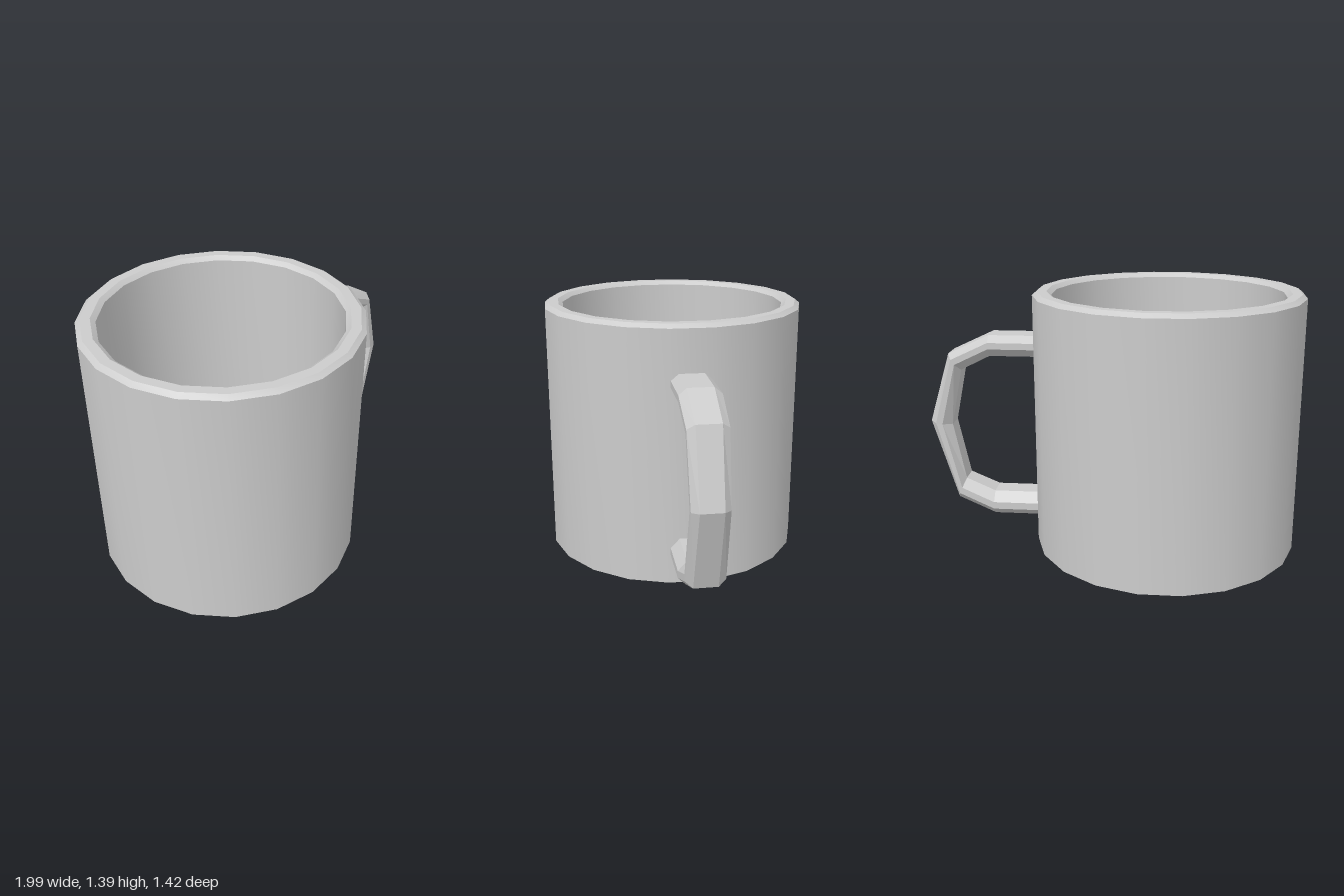
import * as THREE from 'three';
import { toCreasedNormals } from 'three/addons/utils/BufferGeometryUtils.js';

const SIDES = 20;
const CENTER_X = -0.29;

// Eight-sided cross-section: t runs from the outer (0) to the inner (1) edge, w is half-width.
const SECTION = [
  [0, 0.62], [0.3, 1], [0.6, 1], [1, 0.55],
  [1, -0.55], [0.6, -1], [0.3, -1], [0, -0.62],
];

// Stations along the handle: outer [r, y], inner [r, y], half-width.
const STATIONS = [
  [[0.66, 1.145], [0.66, 1.03], 0.105],
  [[0.95, 1.145], [0.95, 1.03], 0.105],
  [[1.174, 1.04], [1.11, 0.95], 0.1],
  [[1.29, 0.66], [1.174, 0.64], 0.093],
  [[1.155, 0.215], [1.11, 0.325], 0.1],
  [[0.95, 0.125], [0.95, 0.255], 0.105],
  [[0.66, 0.125], [0.66, 0.255], 0.105],
];

function handleGeometry() {
  const positions = [];
  const indices = [];
  const n = SECTION.length;
  for (const [outer, inner, halfWidth] of STATIONS) {
    for (const [t, w] of SECTION) {
      positions.push(
        THREE.MathUtils.lerp(outer[0], inner[0], t),
        THREE.MathUtils.lerp(outer[1], inner[1], t),
        w * halfWidth,
      );
    }
  }
  for (let i = 0; i < STATIONS.length - 1; i++) {
    for (let j = 0; j < n; j++) {
      const a = i * n + j;
      const b = i * n + ((j + 1) % n);
      indices.push(a, b, a + n, b, b + n, a + n);
    }
  }
  // End caps, buried in the wall
  const last = (STATIONS.length - 1) * n;
  for (let j = 1; j < n - 1; j++) {
    indices.push(0, j + 1, j, last, last + j, last + j + 1);
  }
  const geometry = new THREE.BufferGeometry();
  geometry.setAttribute('position', new THREE.Float32BufferAttribute(positions, 3));
  geometry.setIndex(indices);
  const flat = geometry.toNonIndexed();
  flat.computeVertexNormals();
  return flat;
}

export function createModel() {
  const mug = new THREE.Group();
  mug.name = 'mug';

  // Hollow body: base, outer wall, bevelled rim, inner wall, chamfered floor
  const profile = [
    [0, 0], [0.71, 0], [0.71, 1.37], [0.685, 1.39], [0.635, 1.39],
    [0.61, 1.37], [0.61, 0.14], [0.55, 0.08], [0, 0.08],
  ].map(([r, y]) => new THREE.Vector2(r, y));
  const body = new THREE.Mesh(
    toCreasedNormals(new THREE.LatheGeometry(profile, SIDES), 0.5),
    new THREE.MeshStandardMaterial({ color: 0xcccccc }),
  );
  body.name = 'body';
  body.position.x = CENTER_X;
  mug.add(body);

  // Handle grows out of the middle of one wall facet
  const handle = new THREE.Mesh(
    handleGeometry(),
    new THREE.MeshStandardMaterial({ color: 0xcccccc, flatShading: true }),
  );
  handle.name = 'handle';
  handle.position.x = CENTER_X;
  handle.rotation.y = Math.PI / SIDES;
  mug.add(handle);

  return mug;
}
